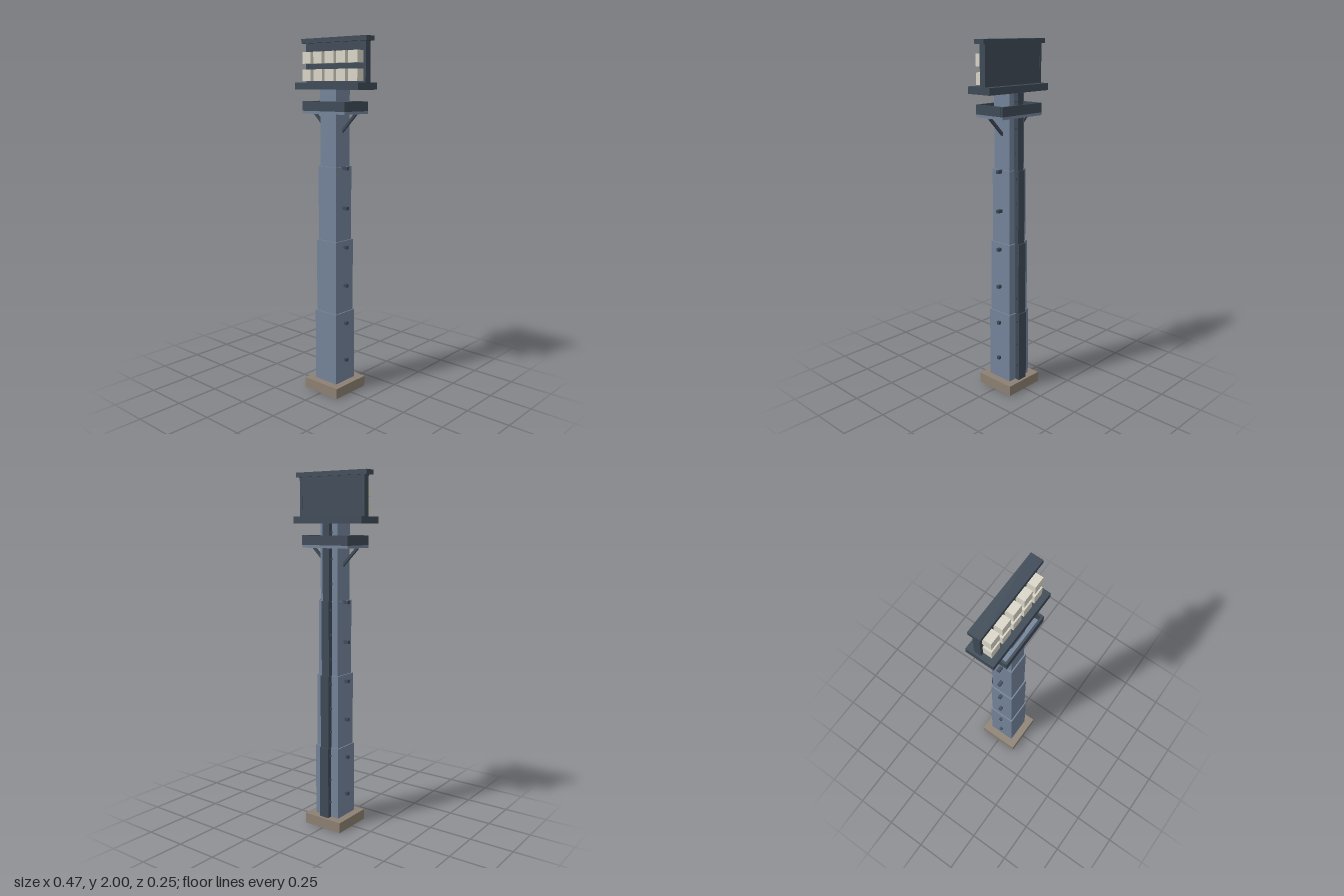
import * as THREE from 'three';

const mat = (color) => new THREE.MeshStandardMaterial({ color, flatShading: true });

export function createModel() {
  const model = new THREE.Group();
  const steel = mat(0x74849a), dark = mat(0x3e4a57), stone = mat(0x8c8072), lamp = mat(0xdad6c8);

  // Box given by its x, y and z extents
  function box(name, material, [x0, x1], [y0, y1], [z0, z1]) {
    const mesh = new THREE.Mesh(new THREE.BoxGeometry(x1 - x0, y1 - y0, z1 - z0), material);
    mesh.position.set((x0 + x1) / 2, (y0 + y1) / 2, (z0 + z1) / 2);
    mesh.name = name;
    model.add(mesh);
    return mesh;
  }
  const span = (half) => [-half, half];

  box('base', stone, span(0.123), [0, 0.06], span(0.123));

  // Four stepped mast sections, each with a cable duct and rungs at the back
  const step = 0.416;
  [0.079, 0.072, 0.0645, 0.057].forEach((half, i) => {
    const y = 0.06 + i * step;
    box('mastSection', steel, span(half), [y, y + step], span(half));
    const duct = half * 0.38;
    box('cableDuct', dark, span(duct), [y, y + step], [-half - 0.028, -half]);
    for (const dy of [0.095, 0.23, 0.37]) {
      box('rung', dark, span(duct + 0.007), [y + dy - 0.005, y + dy + 0.005], [-half - 0.016, -half - 0.006]);
    }
  });

  // Climbing pegs on both sides
  for (let i = 0; i < 6; i++) {
    const y = 0.19 + i * 0.222;
    for (const s of [-1, 1]) {
      box('climbingPeg', dark, s > 0 ? [0.05, 0.095] : [-0.095, -0.05], [y - 0.009, y + 0.009], span(0.009));
    }
  }

  // Service platform: floor, rim walls and diagonal braces
  box('platformFloor', steel, span(0.153), [1.595, 1.61], span(0.097));
  for (const s of [-1, 1]) {
    box('platformRimLong', dark, span(0.153), [1.61, 1.662], s > 0 ? [0.086, 0.098] : [-0.098, -0.086]);
    box('platformRimShort', dark, s > 0 ? [0.142, 0.154] : [-0.154, -0.142], [1.61, 1.662], span(0.086));
    const brace = new THREE.Mesh(new THREE.BoxGeometry(0.145, 0.014, 0.014), dark);
    brace.name = 'platformBrace';
    brace.position.set(s * 0.098, 1.546, 0);
    brace.rotation.z = s * Math.PI / 4;
    model.add(brace);
  }

  // Lamp panel between a lower shelf and a top cap
  box('lowerShelf', dark, span(0.228), [1.724, 1.762], span(0.079));
  box('lampPanel', dark, span(0.201), [1.762, 1.976], [-0.036, 0]);
  for (const s of [-1, 1]) {
    box('panelPost', dark, s > 0 ? [0.2, 0.216] : [-0.216, -0.2], [1.762, 1.976], [-0.037, 0.001]);
  }
  box('topCap', dark, span(0.234), [1.975, 2], [-0.047, 0.02]);

  // Two rows of five floodlights
  for (const y of [1.77, 1.864]) {
    for (let i = -2; i <= 2; i++) {
      const x = i * 0.0835;
      box('floodlight', lamp, [x - 0.0315, x + 0.0315], [y, y + 0.063], [0, 0.049]);
    }
  }
  return model;
}
